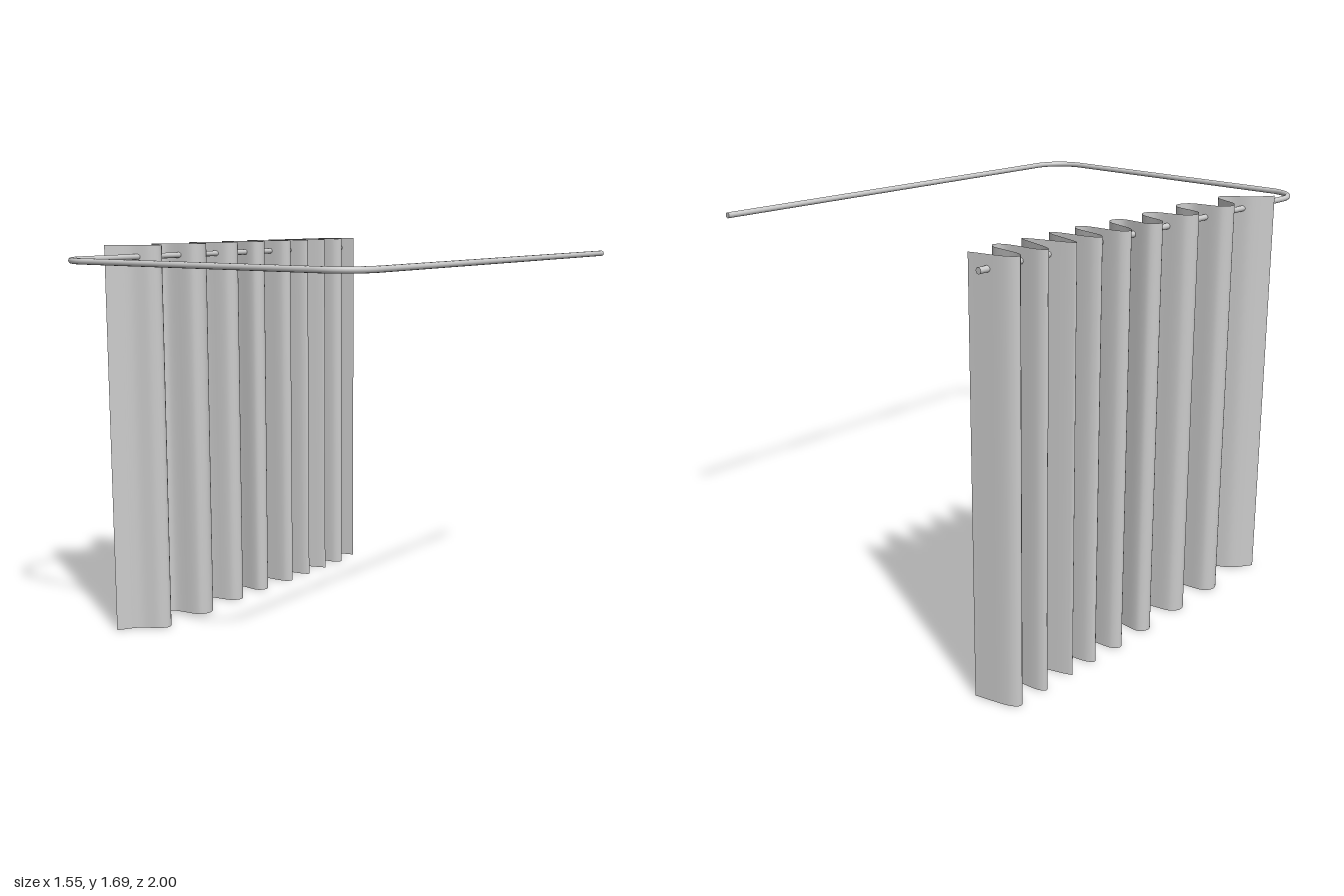
import * as THREE from 'three';

const ROD_Y = 1.64, ROD_R = 0.012, CURTAIN_H = 1.69;

// U-shaped rail with rounded front corners
function createRod(material) {
  const left = -0.667, right = 0.762, back = -1, front = 0.988, r = 0.15;
  const p = (x, z) => new THREE.Vector3(x, ROD_Y, z);
  const path = new THREE.CurvePath();
  path.add(new THREE.LineCurve3(p(left, back), p(left, front - r)));
  // cubic handles at 0.45 r approximate a quarter circle
  const k = 0.45 * r;
  path.add(new THREE.CubicBezierCurve3(p(left, front - r), p(left, front - k), p(left + k, front), p(left + r, front)));
  path.add(new THREE.LineCurve3(p(left + r, front), p(right - r, front)));
  path.add(new THREE.CubicBezierCurve3(p(right - r, front), p(right - k, front), p(right, front - k), p(right, front - r)));
  path.add(new THREE.LineCurve3(p(right, front - r), p(right, back)));

  const group = new THREE.Group();
  group.name = 'curtainRod';
  const rail = new THREE.Mesh(new THREE.TubeGeometry(path, 200, ROD_R, 12), material);
  rail.name = 'rail';
  group.add(rail);
  for (const x of [left, right]) {
    const cap = new THREE.Mesh(new THREE.CircleGeometry(ROD_R, 12), material);
    cap.name = 'railEnd';
    cap.position.set(x, ROD_Y, back);
    cap.rotation.y = Math.PI;
    group.add(cap);
  }
  return group;
}

// Pleated curtain: a wavy line in plan, raised to full height
function createCurtain(material) {
  // fold crests: x, z, half width of the rounded bend
  const folds = [
    [-0.768, -0.91, 0.025], [-0.574, -0.835, 0.025], [-0.768, -0.77, 0.018],
    [-0.574, -0.695, 0.012], [-0.768, -0.622, 0.012], [-0.575, -0.553, 0.015],
    [-0.768, -0.49, 0.02], [-0.576, -0.41, 0.025], [-0.772, -0.336, 0.028],
    [-0.592, -0.225, 0.035], [-0.767, -0.15, 0.036], [-0.592, -0.03, 0.036],
    [-0.762, 0.082, 0.04], [-0.58, 0.21, 0.045], [-0.756, 0.33, 0.042],
    [-0.596, 0.468, 0.036],
  ];
  const points = [new THREE.Vector3(-0.595, 0, -0.977)];
  folds.forEach(([x, z, w], i) => {
    const inset = i % 2 ? -0.022 : 0.022;
    points.push(
      new THREE.Vector3(x + inset, 0, z - w),
      new THREE.Vector3(x, 0, z),
      new THREE.Vector3(x + inset, 0, z + w));
  });
  points.push(new THREE.Vector3(-0.695, 0, 0.55), new THREE.Vector3(-0.755, 0, 0.635));

  const steps = 400;
  const line = new THREE.CatmullRomCurve3(points, false, 'centripetal').getSpacedPoints(steps);
  const geometry = new THREE.PlaneGeometry(1, CURTAIN_H, steps, 1);
  const pos = geometry.attributes.position;
  for (let i = 0; i < pos.count; i++) {
    const q = line[i % (steps + 1)];
    pos.setXYZ(i, q.x, pos.getY(i) + CURTAIN_H / 2, q.z);
  }
  geometry.computeVertexNormals();
  const curtain = new THREE.Mesh(geometry, material);
  curtain.name = 'curtain';
  return curtain;
}

export function createModel() {
  const model = new THREE.Group();
  model.name = 'showerCurtain';
  const metal = new THREE.MeshStandardMaterial({ color: 0xcccccc });
  const cloth = new THREE.MeshStandardMaterial({ color: 0xcccccc, side: THREE.DoubleSide });
  model.add(createRod(metal), createCurtain(cloth));
  return model;
}
